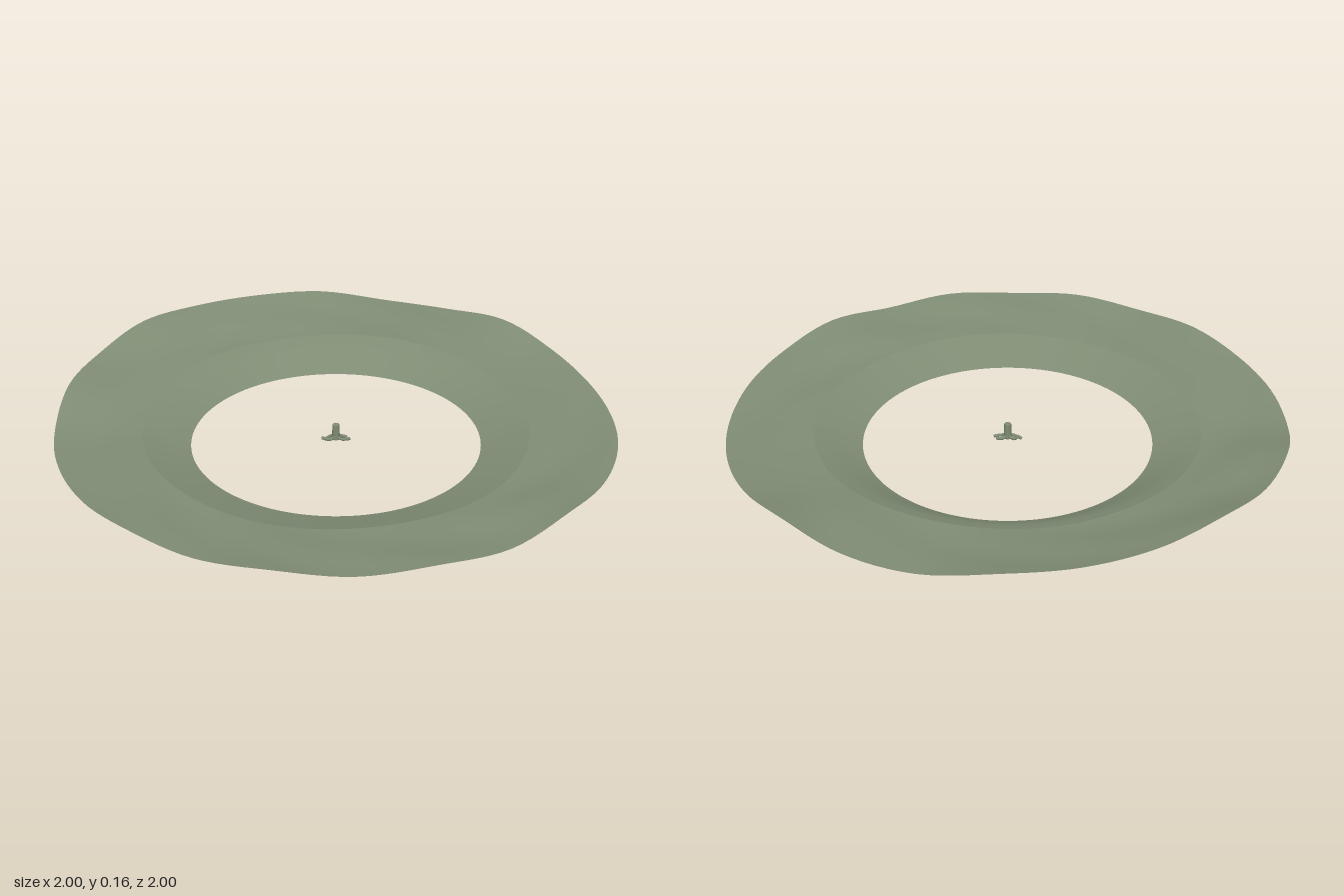
import * as THREE from 'three';

// Rim heights every 15 degrees, starting at +x and turning towards +z
const RIM = [.06, .07, .08, .10, .075, .09, .08, .092, .08, .09, .075, .07,
  .068, .12, .13, .16, .148, .14, .135, .105, .105, .125, .09, .066];

// Smooth periodic interpolation of the rim heights
function rimHeight(a) {
  const n = RIM.length;
  const t = ((a / (Math.PI * 2)) % 1 + 1) % 1 * n;
  const i = Math.floor(t), f = t - i;
  const p = k => RIM[(i + k + n) % n];
  return p(0) + 0.5 * f * (p(1) - p(-1)
    + f * (2 * p(-1) - 5 * p(0) + 4 * p(1) - p(2)
    + f * (3 * (p(0) - p(1)) + p(2) - p(-1))));
}

// Height of the ground at radius r: bank (steeper at the back), then hills
function groundHeight(r, a) {
  const back = Math.max(0, -Math.sin(a));
  const crest = 0.056 + 0.032 * back + 0.003 * Math.sin(5 * a + 1);
  const kink = crest * (0.59 + 0.15 * back);
  if (r <= 0.62) return kink * (r - 0.52) / 0.10;
  if (r <= 0.69) return THREE.MathUtils.lerp(kink, crest, (r - 0.62) / 0.07);
  const t = (r - 0.69) / 0.31;
  const bumps = 0.004 * Math.sin(Math.PI * t) * Math.sin(7 * a + 5 * t);
  return THREE.MathUtils.lerp(crest, rimHeight(a), Math.pow(t, 1.4)) + bumps;
}

// Strip of ground between the given radii
function groundRing(radii, material, name) {
  const seg = 144, pos = [], idx = [];
  radii.forEach(r => {
    for (let i = 0; i <= seg; i++) {
      const a = i / seg * Math.PI * 2;
      pos.push(r * Math.cos(a), groundHeight(r, a), r * Math.sin(a));
    }
  });
  for (let j = 0; j < radii.length - 1; j++) {
    for (let i = 0; i < seg; i++) {
      const p = j * (seg + 1) + i, q = p + seg + 1;
      idx.push(p, p + 1, q, p + 1, q + 1, q);
    }
  }
  const geo = new THREE.BufferGeometry();
  geo.setAttribute('position', new THREE.Float32BufferAttribute(pos, 3));
  geo.setIndex(idx);
  geo.computeVertexNormals();
  const mesh = new THREE.Mesh(geo, material);
  mesh.name = name;
  return mesh;
}

export function createModel() {
  const group = new THREE.Group();
  const green = new THREE.MeshStandardMaterial({ color: 0x7f8c74, side: THREE.DoubleSide });
  green.name = 'mossGreen';

  // Sloping bank around the open middle, and the hills outside it
  group.add(groundRing([0.52, 0.57, 0.62, 0.655, 0.69], green, 'innerBank'));
  group.add(groundRing([0.69, 0.73, 0.77, 0.81, 0.85, 0.89, 0.93, 0.965, 1], green, 'rollingHills'));

  // Small upright post in the middle with spreading feet
  const stump = new THREE.Group();
  stump.name = 'centrePost';
  const trunk = new THREE.Mesh(new THREE.CylinderGeometry(0.013, 0.014, 0.058, 8), green);
  trunk.name = 'post';
  trunk.position.y = 0.034;
  stump.add(trunk);
  for (const s of [-1, 1]) {
    for (const z of [-0.014, 0.012]) {
      const path = new THREE.CatmullRomCurve3([
        new THREE.Vector3(0, 0.018, 0),
        new THREE.Vector3(s * 0.02, 0.009, z),
        new THREE.Vector3(s * (z < 0 ? 0.04 : 0.05), 0.007, s * z * 0.5),
      ]);
      const foot = new THREE.Mesh(new THREE.TubeGeometry(path, 6, 0.006, 6), green);
      foot.name = 'foot';
      stump.add(foot);
    }
  }
  group.add(stump);
  return group;
}
